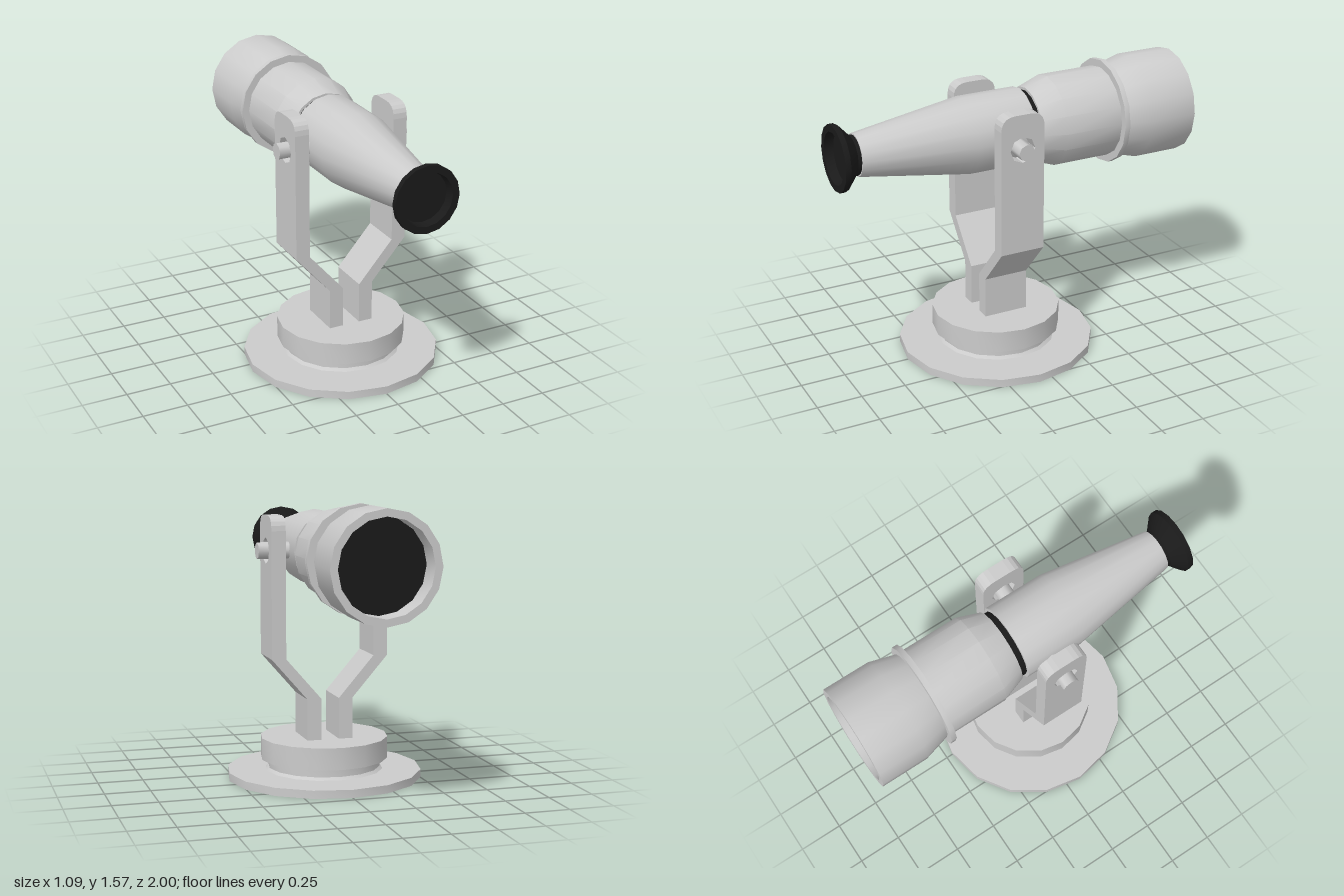
import * as THREE from 'three';
import { toCreasedNormals } from 'three/addons/utils/BufferGeometryUtils.js';

const SIDES = 16, AXIS_Y = 1.276, PIVOT_Z = 0.082;
const grey = new THREE.MeshStandardMaterial({ color: 0xcccccc });
const black = new THREE.MeshStandardMaterial({ color: 0x1a1a1a });

export function createModel() {
  const model = new THREE.Group();

  const add = (name, geometry, material = grey, parent = model) => {
    const mesh = new THREE.Mesh(geometry, material);
    mesh.name = name;
    parent.add(mesh);
    return mesh;
  };
  // Turned part from [radius, height] pairs, listed from low to high
  const turned = (profile) => toCreasedNormals(
    new THREE.LatheGeometry(profile.map(([r, h]) => new THREE.Vector2(r, h)), SIDES), 0.5);

  // Stepped round base
  add('base', turned([
    [0, 0], [0.545, 0], [0.545, 0.045], [0.33, 0.045], [0.315, 0.06], [0.315, 0.108],
    [0.357, 0.108], [0.357, 0.23], [0, 0.23],
  ])).position.z = PIVOT_Z;

  // Telescope, turned around the z axis
  const scope = new THREE.Group();
  scope.name = 'telescope';
  scope.position.y = AXIS_Y;
  model.add(scope);
  const addScope = (name, profile, material) =>
    add(name, turned(profile).rotateX(Math.PI / 2), material, scope);

  addScope('objectiveBarrel', [
    [0, -0.86], [0.25, -0.87], [0.25, -1], [0.29, -1], [0.29, -0.735], [0.25, -0.59],
    [0.29, -0.59], [0.29, -0.56], [0.25, -0.56], [0.25, -0.23], [0.205, -0.1], [0, -0.1],
  ]);
  addScope('objectiveLens', [[0, -0.875], [0.249, -0.875], [0.249, -0.865]], black);
  addScope('jointRing', [[0.19, -0.11], [0.19, -0.055]], black);
  addScope('taperedBarrel', [
    [0, -0.065], [0.21, -0.065], [0.21, 0.27], [0.115, 0.885], [0, 0.885],
  ]);
  addScope('eyepiece', [
    [0, 0.87], [0.108, 0.87], [0.108, 0.905], [0.18, 0.97], [0.18, 1], [0.142, 1],
    [0.135, 0.95], [0, 0.95],
  ], black);

  // Upper fork plate: rounded top and a pivot hole, drawn in side profile
  const half = 0.125, bendY = 0.69, topY = 1.47, round = 0.08;
  const plate = new THREE.Shape();
  plate.moveTo(-half, bendY);
  plate.lineTo(half, bendY);
  plate.lineTo(half, topY - round);
  plate.quadraticCurveTo(half, topY, half - round, topY);
  plate.lineTo(-half + round, topY);
  plate.quadraticCurveTo(-half, topY, -half, topY - round);
  plate.closePath();
  const hole = [];
  for (let i = 0; i < 8; i++) {
    const a = -i * Math.PI / 4;
    hole.push(new THREE.Vector2(0.072 * Math.cos(a), AXIS_Y + 0.072 * Math.sin(a)));
  }
  plate.holes.push(new THREE.Path(hole));

  // Lower fork leg: bent strip, drawn in front profile
  const leg = new THREE.Shape([
    [0.05, 0.22], [0.13, 0.22], [0.13, 0.46], [0.33, bendY], [0.25, bendY], [0.05, 0.46],
  ].map(([x, y]) => new THREE.Vector2(x, y)));

  // Each side of the fork; a half turn about y mirrors the symmetric parts
  for (const [side, turn] of [['left', 0], ['right', Math.PI]]) {
    const arm = new THREE.Group();
    arm.name = side + 'ForkArm';
    arm.position.z = PIVOT_Z;
    arm.rotation.y = turn;
    model.add(arm);
    add(side + 'ForkPlate', new THREE.ExtrudeGeometry(plate,
      { depth: 0.08, bevelEnabled: false, curveSegments: 5 })
      .rotateY(Math.PI / 2).translate(0.25, 0, 0), grey, arm);
    add(side + 'ForkLeg', new THREE.ExtrudeGeometry(leg,
      { depth: 2 * half, bevelEnabled: false }).translate(0, 0, -half), grey, arm);
    add(side + 'PivotPin', toCreasedNormals(
      new THREE.CylinderGeometry(0.046, 0.046, 0.22, 8), 0.9)
      .rotateZ(Math.PI / 2).translate(0.27, AXIS_Y, 0), grey, arm);
  }
  return model;
}
